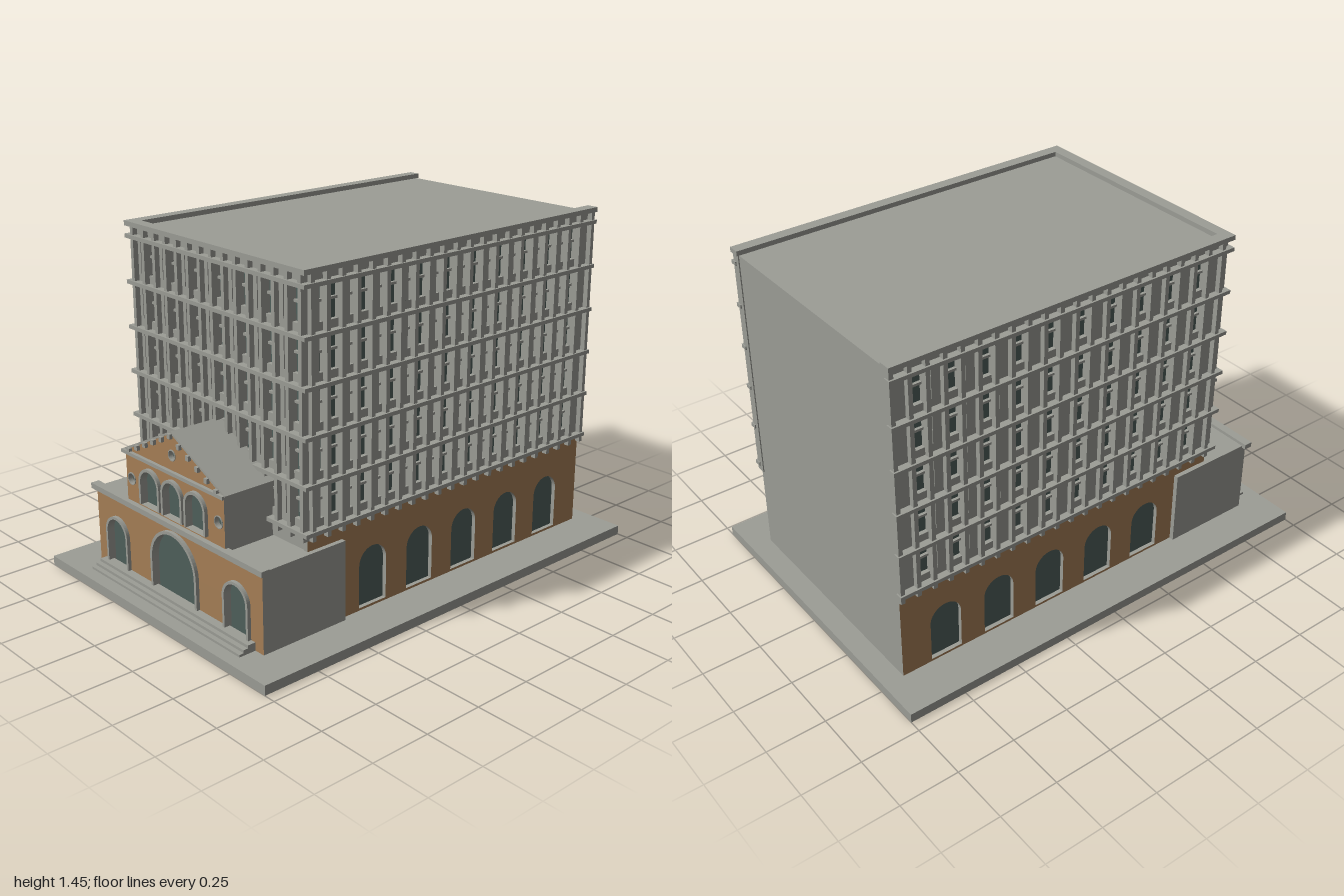
import * as THREE from 'three';

const stone = new THREE.MeshStandardMaterial({ color: 0x9c9d96 });
stone.name = 'grey stone';
const brick = new THREE.MeshStandardMaterial({ color: 0xa67f56 });
brick.name = 'tan brick';
const glass = new THREE.MeshStandardMaterial({ color: 0x4f5f5b });
glass.name = 'dark glass';

function add(parent, name, geometry, material) {
  const mesh = new THREE.Mesh(geometry, material);
  mesh.name = name;
  parent.add(mesh);
  return mesh;
}

// Box given by its limits on each axis
function box(parent, name, x0, x1, y0, y1, z0, z1, material = stone) {
  const mesh = add(parent, name, new THREE.BoxGeometry(x1 - x0, y1 - y0, z1 - z0), material);
  mesh.position.set((x0 + x1) / 2, (y0 + y1) / 2, (z0 + z1) / 2);
  return mesh;
}

function trace(target, points) {
  points.forEach(([x, y], i) => (i ? target.lineTo(x, y) : target.moveTo(x, y)));
  target.closePath();
  return target;
}

const rect = (x0, x1, y0, y1) => [[x0, y0], [x1, y0], [x1, y1], [x0, y1]];

// Round-headed opening; r is half the width
function arch(x, y0, top, r, Type = THREE.Path) {
  const p = new Type();
  p.moveTo(x - r, y0);
  p.lineTo(x + r, y0);
  p.lineTo(x + r, top - r);
  p.absarc(x, top - r, r, 0, Math.PI, false);
  p.closePath();
  return p;
}

function circle(x, y, r, Type = THREE.Path) {
  const p = new Type();
  p.absarc(x, y, r, 0, Math.PI * 2, false);
  return p;
}

// Wall plate with openings; its cut edges are stone
function plate(parent, name, shape, holes, z, depth, face) {
  shape.holes.push(...holes);
  const geometry = new THREE.ExtrudeGeometry(shape, { depth, bevelEnabled: false, curveSegments: 16 });
  const mesh = add(parent, name, geometry, [face, stone]);
  mesh.position.z = z;
  return mesh;
}

// Raised stone surround around an arch
function archFrame(parent, x, y0, top, r, width, z) {
  const outer = arch(x, y0, top, r, THREE.Shape);
  plate(parent, 'archSurround', outer, [arch(x, y0, top - width, r - width)], z, 0.015, stone);
}

function glassSheet(parent, x0, x1, y0, y1, z) {
  const mesh = add(parent, 'glazing', new THREE.PlaneGeometry(x1 - x0, y1 - y0), glass);
  mesh.position.set((x0 + x1) / 2, (y0 + y1) / 2, z);
}

// Gridded office facade, built facing +z with the core face at z = 0
const FLOOR = 0.187, RAIL = 0.449;
function facade(name, wall, rails, bottom, columns, windows, half) {
  const g = new THREE.Group();
  g.name = name;
  const holes = [];
  for (let f = 1; f <= 5; f++) {
    const top = RAIL + f * FLOOR - 0.01;
    for (const u of windows) {
      holes.push(trace(new THREE.Path(), rect(u - half, u + half, top - 0.137, top)));
      box(g, 'windowBar', u - half, u + half, top - 0.066, top - 0.056, 0.002, 0.014);
    }
  }
  plate(g, 'windowWall', trace(new THREE.Shape(), rect(...wall, bottom, 1.43)), holes, 0, 0.02, stone);
  glassSheet(g, wall[0] + 0.02, wall[1] - 0.02, 0.46, 1.4, 0.002);
  for (const u of columns) box(g, 'column', u - 0.009, u + 0.009, 0.415, 1.435, 0.002, 0.042);
  for (let f = 0; f <= 5; f++) {
    const y = RAIL + f * FLOOR;
    box(g, 'floorRail', ...rails, y - 0.008, y + 0.008, 0.02, 0.05);
  }
  box(g, 'parapetRail', ...rails, 1.425, 1.445, 0, 0.05);
  return g;
}

export function createModel() {
  const model = new THREE.Group();
  model.name = 'building';
  box(model, 'basePlinth', -0.7, 0.7, 0, 0.04, -1, 1);
  box(model, 'towerCore', -0.495, 0.495, 0.04, 1.425, -0.91, 0.62);

  // Tower front
  const span = (n, start, step) => Array.from({ length: n }, (_, i) => start + i * step);
  const front = facade('towerFront', [-0.514, 0.514], [-0.545, 0.545], 0.375,
    span(15, -0.508, 0.0726), span(7, -0.427, 0.146), 0.054);
  front.position.z = 0.62;
  model.add(front);

  // Tower sides, with a brick ground floor and arched windows
  for (const s of [1, -1]) {
    const along = (z) => -s * z;
    const range = (a, b) => [along(a), along(b)].sort((p, q) => p - q);
    const side = facade('towerSide', range(-0.91, 0.62), range(-0.92, 0.67), 0.44,
      span(22, 0.623, -0.0728).slice(0, 22).map(along), span(10, 0.525, -0.1456).map(along), 0.051);
    const [u0, u1] = range(-0.91, 0.64);
    const arches = span(5, 0.31, -0.254).map((z) => arch(along(z), 0.05, 0.297, 0.071));
    plate(side, 'groundFloorWall', trace(new THREE.Shape(), rect(u0, u1, 0.04, 0.44)), arches, 0, 0.02, brick);
    glassSheet(side, ...range(-0.85, 0.45), 0.045, 0.4, 0.002);
    side.rotation.y = s * Math.PI / 2;
    side.position.x = s * 0.495;
    model.add(side);
  }

  // Entrance block
  const entrance = new THREE.Group();
  entrance.name = 'entranceBlock';
  model.add(entrance);
  box(entrance, 'entranceBody', -0.535, 0.535, 0.04, 0.372, 0.47, 0.85);
  const doors = [[-0.387, 0.284, 0.076, 0.012], [0, 0.348, 0.15, 0.013], [0.387, 0.284, 0.076, 0.012]];
  plate(entrance, 'entranceFront', trace(new THREE.Shape(), rect(-0.535, 0.535, 0.04, 0.372)),
    doors.map(([x, top, r, w]) => arch(x, 0.06, top - w, r - w)), 0.85, 0.02, brick);
  glassSheet(entrance, -0.5, 0.5, 0.05, 0.36, 0.852);
  for (const [x, top, r, w] of doors) archFrame(entrance, x, 0.06, top, r, w, 0.87);
  box(entrance, 'cornice', -0.553, 0.553, 0.363, 0.386, 0.85, 0.887);
  for (let i = 0; i < 3; i++) {
    box(entrance, 'step', -0.487, 0.487, 0.04, 0.05 + i * 0.012, 0.86, 0.945 - i * 0.02);
  }

  // Gabled upper hall
  const hall = new THREE.Group();
  hall.name = 'gabledHall';
  model.add(hall);
  const gable = () => trace(new THREE.Shape(),
    [[-0.315, 0.37], [0.315, 0.37], [0.315, 0.595], [0, 0.75], [-0.315, 0.595]]);
  plate(hall, 'hallBody', gable(), [], 0.63, 0.215, stone);
  const arcade = [-0.147, 0, 0.147];
  const rounds = [[-0.28, 0.482, 0.026], [0.28, 0.482, 0.026], [0, 0.662, 0.023]];
  plate(hall, 'hallFront', gable(), [
    ...arcade.map((x) => arch(x, 0.402, 0.55, 0.055)),
    ...rounds.map(([x, y, r]) => circle(x, y, r - 0.003)),
  ], 0.845, 0.02, brick);
  glassSheet(hall, -0.31, 0.31, 0.395, 0.58, 0.847);
  glassSheet(hall, -0.04, 0.04, 0.62, 0.7, 0.847);
  for (const x of arcade) archFrame(hall, x, 0.402, 0.562, 0.067, 0.012, 0.865);
  for (const [x, y, r] of rounds) {
    plate(hall, 'roundWindowRing', circle(x, y, r, THREE.Shape), [circle(x, y, r - 0.004)], 0.862, 0.006, stone);
  }
  box(hall, 'pedimentSill', -0.325, 0.325, 0.586, 0.6, 0.85, 0.88);

  // Roof slab and the small blocks below its sloping edges
  const roof = trace(new THREE.Shape(),
    [[-0.327, 0.594], [-0.315, 0.594], [0, 0.75], [0.315, 0.594], [0.327, 0.594], [0.327, 0.599], [0, 0.759], [-0.327, 0.599]]);
  plate(hall, 'hallRoof', roof, [], 0.63, 0.238, stone);
  for (let i = -5; i <= 5; i++) {
    const x = i * 0.056, y = 0.742 - Math.abs(x) * 0.493;
    box(hall, 'gableBlock', x - 0.009, x + 0.009, y - 0.011, y + 0.009, 0.86, 0.879);
  }
  return model;
}
